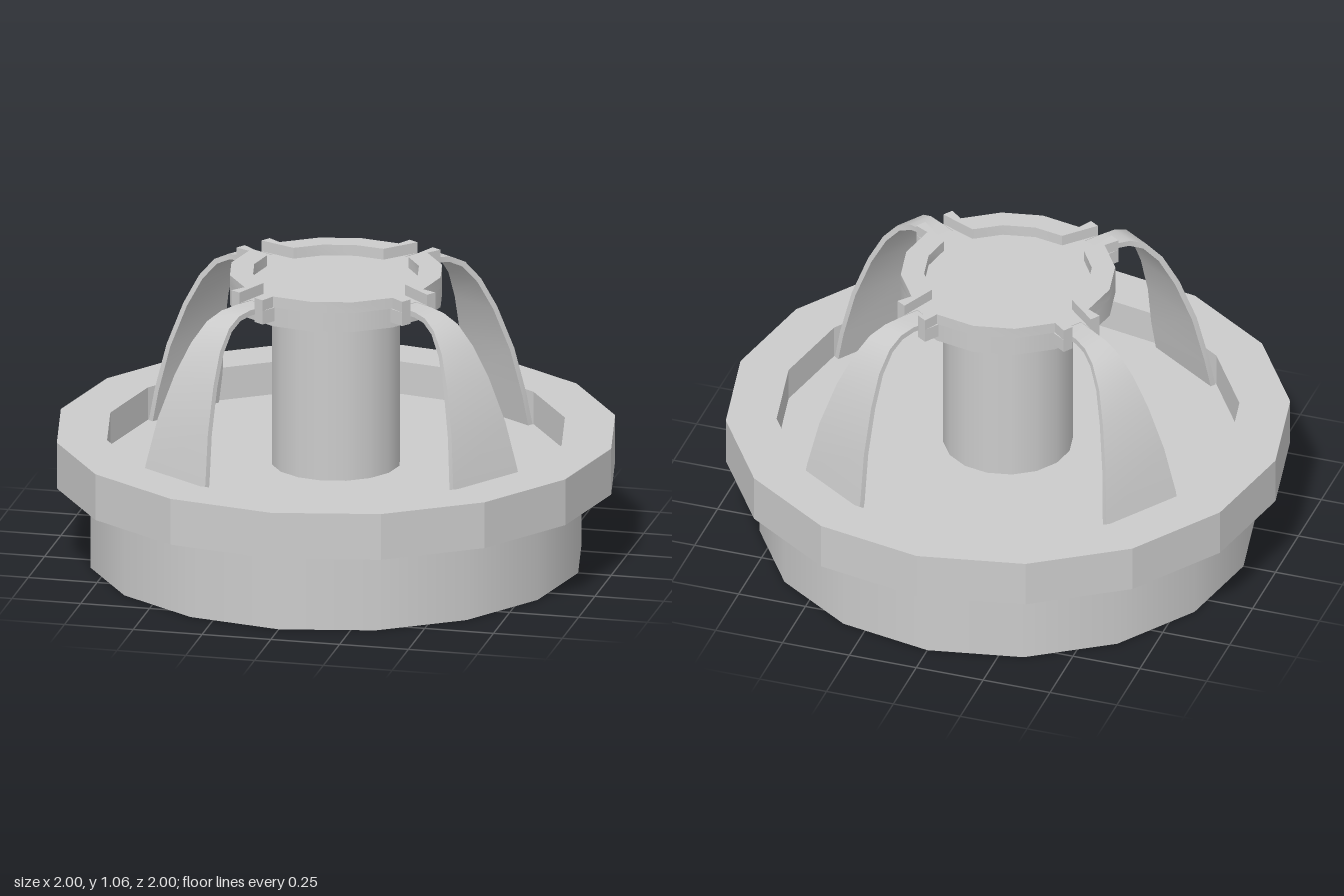
import * as THREE from 'three';
import { toCreasedNormals } from 'three/addons/utils/BufferGeometryUtils.js';

const SIDES = 16;
const LEG_ANGLE = THREE.MathUtils.degToRad(56.25); // legs stand on the middle of a rim side
const material = new THREE.MeshStandardMaterial({ color: 0xcccccc, side: THREE.DoubleSide });
const flat = new THREE.MeshStandardMaterial({ color: 0xcccccc, side: THREE.DoubleSide, flatShading: true });

function add(parent, name, geometry, mat = material) {
  const mesh = new THREE.Mesh(geometry, mat);
  mesh.name = name;
  parent.add(mesh);
  return mesh;
}

// Cylinder between two heights
function tube(r, y0, y1, open, sides = SIDES) {
  return new THREE.CylinderGeometry(r, r, y1 - y0, sides, 1, open).translate(0, (y0 + y1) / 2, 0);
}

// Plan outline (x, -z) raised between two heights
function slab(points, y0, y1) {
  const shape = new THREE.Shape(points.map(([x, y]) => new THREE.Vector2(x, y)));
  const g = new THREE.ExtrudeGeometry(shape, { depth: y1 - y0, bevelEnabled: false });
  g.rotateX(-Math.PI / 2).translate(0, y0, 0);
  return toCreasedNormals(g, 0.5);
}

const polar = (r, deg) => {
  const a = THREE.MathUtils.degToRad(deg);
  return [r * Math.cos(a), r * Math.sin(a)];
};

// Curved, tapering strap along +x, swept from a four-cornered section
function legGeometry() {
  const thickness = 0.02;
  const rows = [ // radius, height, half width
    [0.8, 0.35, 0.16], [0.775, 0.47, 0.155], [0.74, 0.64, 0.13], [0.685, 0.8, 0.1],
    [0.63, 0.91, 0.075], [0.57, 0.98, 0.058], [0.51, 1.01, 0.046], [0.45, 1.018, 0.04], [0.35, 1.018, 0.045],
  ];
  const positions = [], index = [];
  rows.forEach(([r, y, w], i) => {
    const a = rows[Math.max(i - 1, 0)], b = rows[Math.min(i + 1, rows.length - 1)];
    const t = new THREE.Vector2(b[0] - a[0], b[1] - a[1]).normalize();
    const ri = r - t.y * thickness, yi = y + t.x * thickness;
    positions.push(r, y, w, r, y, -w, ri, yi, -w, ri, yi, w);
    if (i === 0) return;
    for (let k = 0; k < 4; k++) {
      const p = (i - 1) * 4 + k, q = (i - 1) * 4 + (k + 1) % 4;
      index.push(p, q, q + 4, p, q + 4, p + 4);
    }
  });
  const n = (rows.length - 1) * 4;
  index.push(0, 2, 1, 0, 3, 2, n, n + 1, n + 2, n, n + 2, n + 3);
  const g = new THREE.BufferGeometry();
  g.setAttribute('position', new THREE.Float32BufferAttribute(positions, 3));
  g.setIndex(index);
  return toCreasedNormals(g, 0.6);
}

export function createModel() {
  const model = new THREE.Group();
  model.name = 'strainerBasket';

  // Base: thin skirt, faceted rim, floor with the column opening
  add(model, 'skirt', tube(0.88, 0, 0.3, true));
  const rimProfile = [[0.82, 0.3], [1, 0.3], [1, 0.47], [0.82, 0.47], [0.82, 0.3]];
  add(model, 'rim', new THREE.LatheGeometry(rimProfile.map(([x, y]) => new THREE.Vector2(x, y)), SIDES), flat);
  add(model, 'floor', new THREE.RingGeometry(0.23, 0.82, SIDES).rotateX(-Math.PI / 2).translate(0, 0.35, 0));

  // Hollow centre column and the plate on top
  add(model, 'column', tube(0.23, 0.35, 0.95, true));
  add(model, 'topPlate', tube(0.38, 0.95, 1.02, false));

  // Four quarters, each a leg, a raised lip segment and its end tabs
  const leg = legGeometry();
  const lip = slab([
    [0.43, 0.04], [0.43, 0.08], polar(0.38, 11.25), polar(0.38, 33.75), polar(0.38, 56.25), polar(0.38, 78.75),
    [0.08, 0.43], [0.04, 0.43],
    polar(0.297, 77.5), polar(0.297, 56.25), polar(0.297, 33.75), polar(0.297, 12.5),
  ], 1.02, 1.06);
  const tab = new THREE.BoxGeometry(0.07, 0.05, 0.04);
  for (let i = 0; i < 4; i++) {
    const quarter = new THREE.Group();
    quarter.name = 'quarter' + (i + 1);
    quarter.rotation.y = LEG_ANGLE + i * Math.PI / 2;
    add(quarter, 'leg', leg);
    add(quarter, 'lip', lip);
    for (const side of [-1, 1]) add(quarter, 'tab', tab).position.set(0.395, 0.995, side * 0.06);
    model.add(quarter);
  }
  return model;
}
